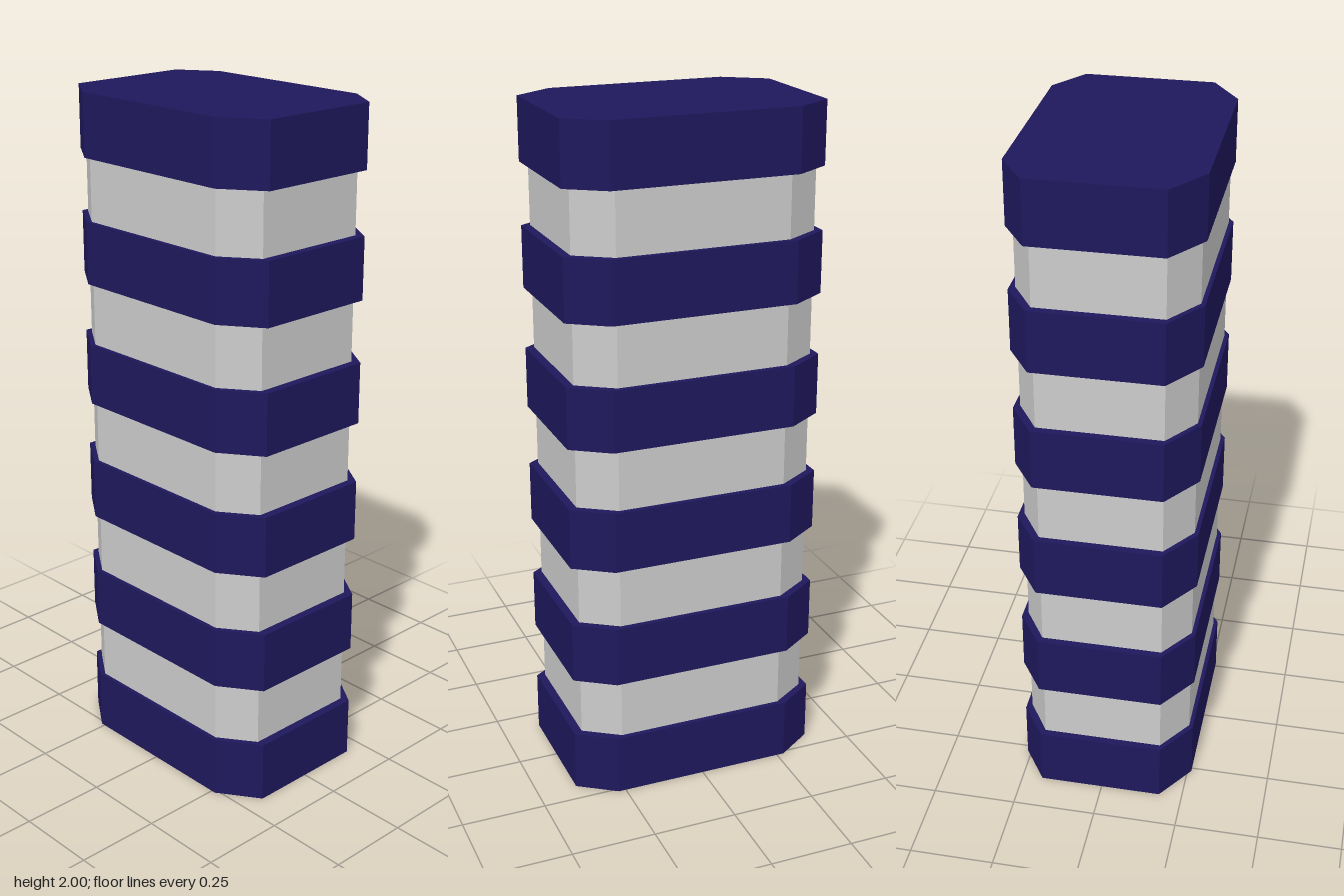
import * as THREE from 'three';

const LAYERS = 11;
const H = 2 / LAYERS;

// Eight-sided prism: a rectangle with cut corners, slightly different front and back
function slab({ left, right, front, back, cutFrontX, cutBackX, cutFrontZ, cutBackZ }) {
  const outline = [
    [-cutFrontX, front], [cutFrontX, front], [right, cutFrontZ], [right, -cutBackZ],
    [cutBackX, -back], [-cutBackX, -back], [-left, -cutBackZ], [-left, cutFrontZ],
  ];
  const shape = new THREE.Shape(outline.map(([x, z]) => new THREE.Vector2(x, -z)));
  return new THREE.ExtrudeGeometry(shape, { depth: H, bevelEnabled: false }).rotateX(-Math.PI / 2);
}

export function createModel() {
  const model = new THREE.Group();
  model.name = 'stripedColumn';

  const navy = new THREE.MeshStandardMaterial({ color: 0x1e185c, flatShading: true });
  const grey = new THREE.MeshStandardMaterial({ color: 0xcccccc, flatShading: true });

  const bandGeometry = slab({
    left: 0.382, right: 0.382, front: 0.262, back: 0.262,
    cutFrontX: 0.263, cutBackX: 0.272, cutFrontZ: 0.18, cutBackZ: 0.188,
  });
  const coreGeometry = slab({
    left: 0.36, right: 0.357, front: 0.25, back: 0.246,
    cutFrontX: 0.254, cutBackX: 0.254, cutFrontZ: 0.177, cutBackZ: 0.178,
  });

  // Wide navy bands alternate with narrower grey core sections
  for (let i = 0; i < LAYERS; i++) {
    const isBand = i % 2 === 0;
    const layer = new THREE.Mesh(isBand ? bandGeometry : coreGeometry, isBand ? navy : grey);
    layer.name = (isBand ? 'band' : 'coreSection') + (Math.floor(i / 2) + 1);
    layer.position.y = i * H;
    model.add(layer);
  }
  return model;
}
